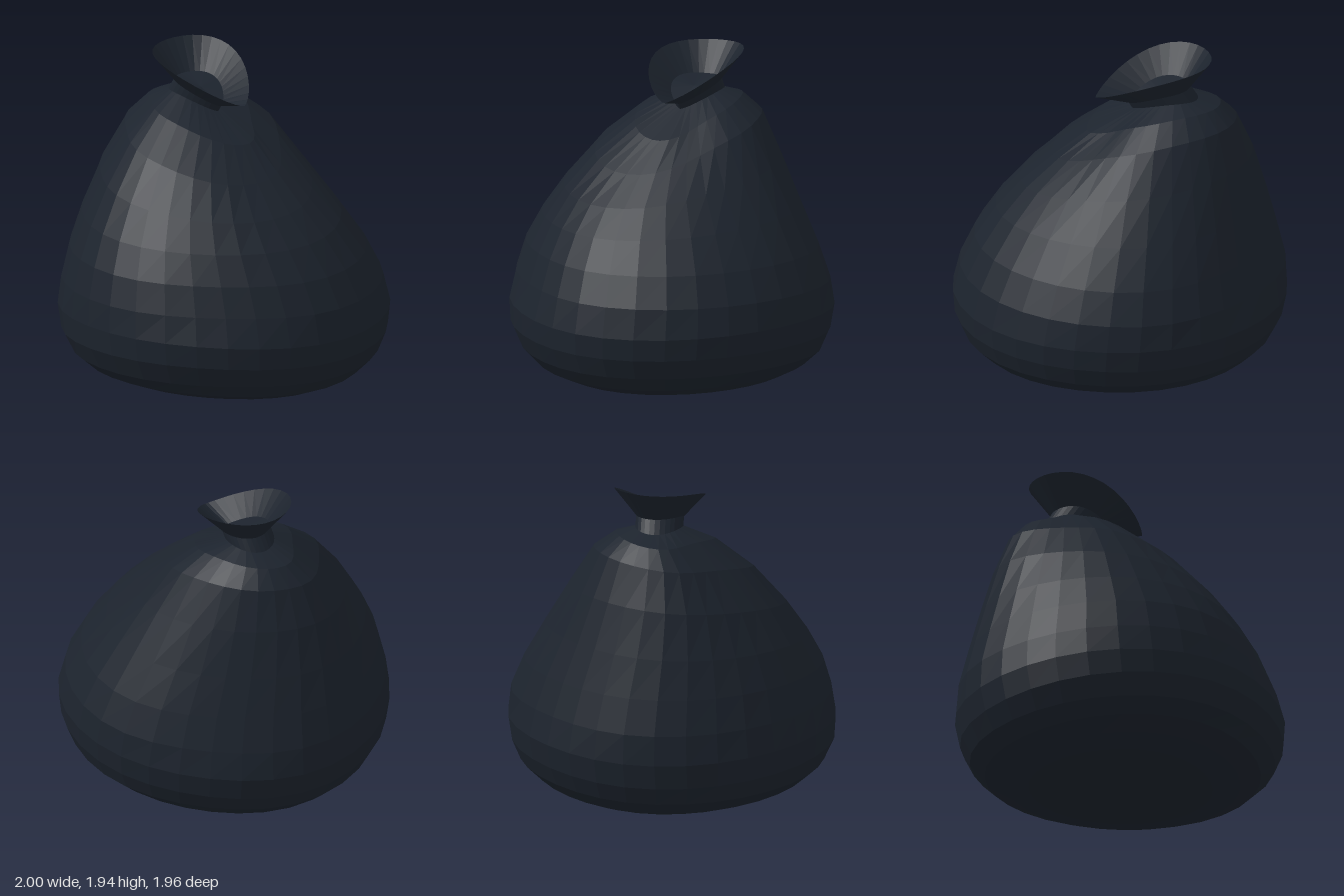
import * as THREE from 'three';

const SIDES = 32;

// Each ring: [left x, y, right x, y, front z, y, back z, y,
//   pinch to a point at +x, dent on diagonals (+x+z, -x-z), dent on the other two]
const bodyRings = [
  [-0.55, 0.00, 0.57, 0.01, 0.52, 0.02, -0.55, 0.02, 0, 0.02, 0],
  [-0.69, 0.02, 0.73, 0.04, 0.68, 0.06, -0.69, 0.05, 0, 0.02, 0],
  [-0.82, 0.06, 0.85, 0.09, 0.82, 0.12, -0.81, 0.11, 0, 0.02, 0],
  [-0.91, 0.14, 0.94, 0.18, 0.91, 0.20, -0.91, 0.20, 0, 0.03, 0],
  [-0.97, 0.25, 0.99, 0.30, 0.97, 0.33, -0.96, 0.32, 0, 0.03, 0],
  [-1.00, 0.40, 1.00, 0.43, 0.98, 0.47, -0.98, 0.46, 0, 0.03, 0],
  [-0.99, 0.58, 0.96, 0.61, 0.96, 0.63, -0.96, 0.62, 0, 0.055, 0.01],
  [-0.94, 0.79, 0.87, 0.79, 0.91, 0.81, -0.88, 0.81, 0, 0.055, 0.015],
  [-0.88, 1.02, 0.74, 0.97, 0.82, 0.99, -0.75, 1.04, 0, 0.04, 0.03],
  [-0.80, 1.29, 0.59, 1.13, 0.69, 1.19, -0.60, 1.29, 0, 0.01, 0.06],
  [-0.70, 1.52, 0.40, 1.30, 0.50, 1.42, -0.45, 1.53, 0, -0.03, 0.11],
  [-0.60, 1.63, 0.20, 1.47, 0.28, 1.60, -0.31, 1.64, 0.1, -0.03, 0.14],
  [-0.46, 1.68, -0.07, 1.61, 0.10, 1.69, -0.18, 1.69, 0.9, 0, 0],
];
const neckTop = [-0.41, 1.76, -0.05, 1.645, 0.10, 1.74, -0.18, 1.74, 0.9, 0, 0];
const rim = [-0.54, 1.94, 0.15, 1.69, 0.23, 1.87, -0.31, 1.89, 1, 0, 0];

// Point on a tilted, saddle-shaped oval or teardrop through the extremes of a ring
function ringPoint([lx, ly, rx, ry, fz, fy, bz, by, pinch, dentA, dentB], j) {
  const t = (j / SIDES) * Math.PI * 2, c = Math.cos(t), s = Math.sin(t);
  const diagonal = Math.sin(2 * t);
  const scale = 1 - (diagonal > 0 ? dentA : dentB) * diagonal * diagonal;
  const teardrop = THREE.MathUtils.lerp(1, Math.sqrt(Math.sin(t / 2)) / 0.863, pinch);
  return [
    (lx + rx) / 2 + ((rx - lx) / 2) * c * scale,
    (ly + ry + fy + by) / 4 + ((ry - ly) / 2) * c + ((fy - by) / 2) * s
      + ((ly + ry - fy - by) / 4) * Math.cos(2 * t),
    (fz + bz) / 2 + ((fz - bz) / 2) * s * scale * teardrop + 0.02 * pinch * c,
  ];
}

// Skin over rings listed from bottom to top, with optional end caps
function loft(rings, { bottom = false, top = false } = {}) {
  const pos = [], index = [];
  for (const r of rings) for (let j = 0; j < SIDES; j++) pos.push(...ringPoint(r, j));
  for (let i = 0; i + 1 < rings.length; i++) {
    for (let j = 0; j < SIDES; j++) {
      const k = (j + 1) % SIDES;
      const a = i * SIDES + j, b = i * SIDES + k;
      index.push(a, a + SIDES, b, b, a + SIDES, b + SIDES);
    }
  }
  const cap = (i, up) => {
    const [lx, ly, rx, ry, fz, fy, bz, by] = rings[i];
    const centre = pos.length / 3;
    pos.push((lx + rx) / 2, (ly + ry + fy + by) / 4, (fz + bz) / 2);
    for (let j = 0; j < SIDES; j++) {
      const a = i * SIDES + j, b = i * SIDES + ((j + 1) % SIDES);
      index.push(centre, up ? b : a, up ? a : b);
    }
  };
  if (bottom) cap(0, false);
  if (top) cap(rings.length - 1, true);
  const geo = new THREE.BufferGeometry();
  geo.setAttribute('position', new THREE.Float32BufferAttribute(pos, 3));
  geo.setIndex(index);
  const flat = geo.toNonIndexed();
  flat.computeVertexNormals();
  return flat;
}

export function createModel() {
  const group = new THREE.Group();
  group.name = 'tiedSack';
  const material = new THREE.MeshStandardMaterial({
    color: 0x1c232d, flatShading: true, side: THREE.DoubleSide,
  });
  const add = (name, geometry) => {
    const mesh = new THREE.Mesh(geometry, material);
    mesh.name = name;
    group.add(mesh);
  };

  // Slumped body with a closed base
  add('sackBody', loft(bodyRings, { bottom: true }));
  // Gathered neck, closed where it is tied
  add('tiedNeck', loft([bodyRings[bodyRings.length - 1], neckTop], { top: true }));
  // Open collar flaring out to a pointed fold
  add('flaredCollar', loft([neckTop, rim]));

  return group;
}
